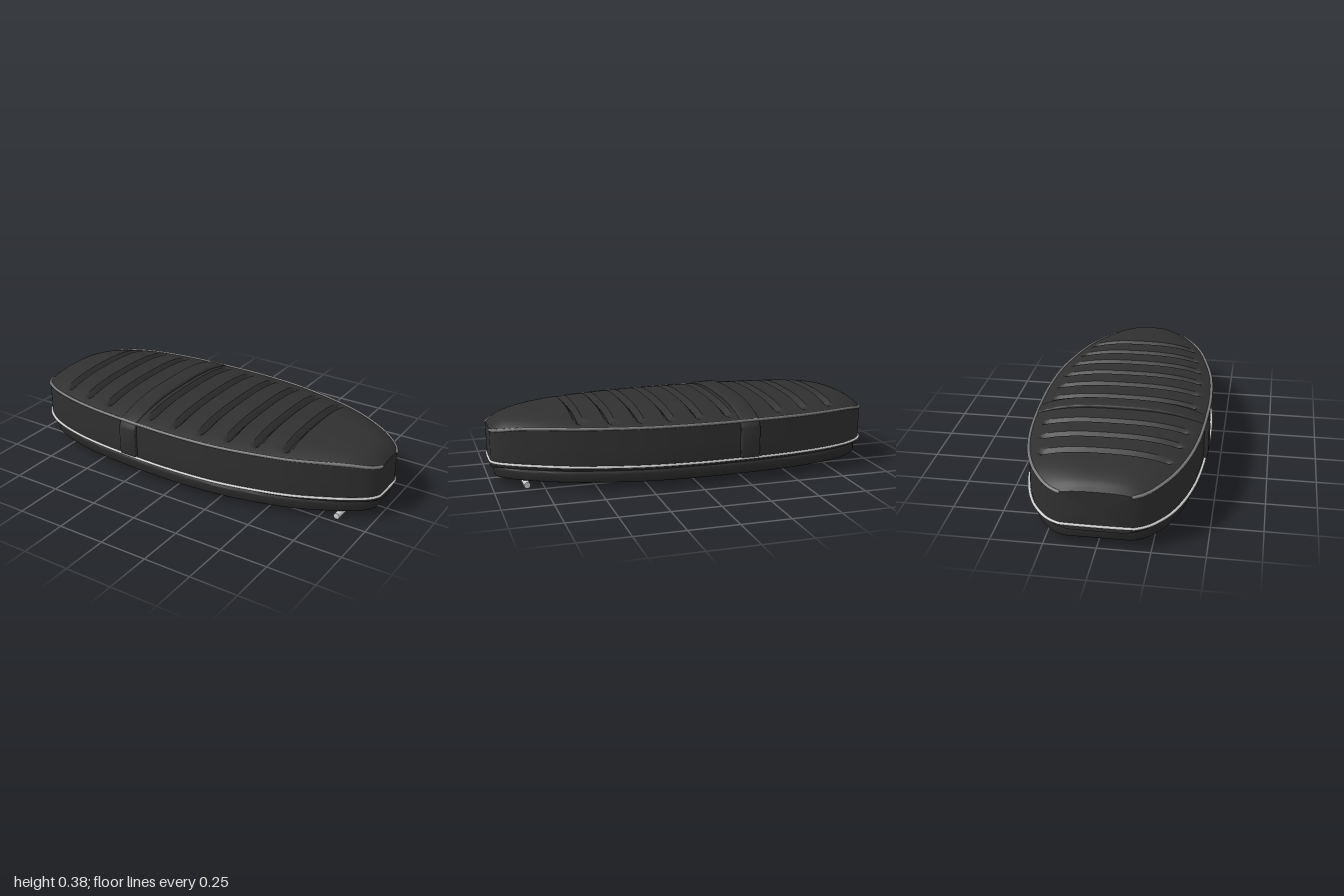
import * as THREE from 'three';
import { toCreasedNormals } from 'three/addons/utils/BufferGeometryUtils.js';

// Smooth interpolation through [x, value] points
function curveThrough(pts) {
  const slope = (i) => {
    const a = pts[Math.max(i - 1, 0)], b = pts[Math.min(i + 1, pts.length - 1)];
    return (b[1] - a[1]) / (b[0] - a[0]);
  };
  return (x) => {
    let i = 0;
    while (i < pts.length - 2 && x > pts[i + 1][0]) i++;
    const [x0, y0] = pts[i], [x1, y1] = pts[i + 1];
    const h = x1 - x0, t = (x - x0) / h, t2 = t * t, t3 = t2 * t;
    return y0 * (2 * t3 - 3 * t2 + 1) + y1 * (3 * t2 - 2 * t3)
      + h * (slope(i) * (t3 - 2 * t2 + t) + slope(i + 1) * (t3 - t2));
  };
}

// Half width, piping height and crown height along the seat
const halfWidth = curveThrough([[-1, 0.17], [-0.98, 0.212], [-0.94, 0.258], [-0.85, 0.32], [-0.7, 0.375],
  [-0.5, 0.412], [-0.25, 0.43], [0, 0.434], [0.25, 0.417], [0.45, 0.378], [0.65, 0.32],
  [0.85, 0.222], [0.95, 0.153], [0.985, 0.115], [1, 0.085]]);
const edgeHeight = curveThrough([[-1, 0.28], [-0.95, 0.293], [-0.87, 0.308], [-0.7, 0.317], [0, 0.319],
  [0.7, 0.315], [0.87, 0.305], [0.95, 0.29], [1, 0.278]]);
const crownHeight = curveThrough([[-1, 0.292], [-0.97, 0.322], [-0.9, 0.35], [-0.8, 0.367], [-0.6, 0.372],
  [0.6, 0.371], [0.8, 0.36], [0.92, 0.338], [0.97, 0.313], [1, 0.284]]);

const END = 0.994;
const GROOVES = [-0.75, -0.595, -0.445, -0.165, -0.01, 0.14, 0.29, 0.435, 0.585];

// Stations along x: denser at the ends and around every groove
function stations() {
  const xs = [];
  for (let i = 0; i <= 64; i++) xs.push(-Math.cos((i / 64) * Math.PI));
  const clear = xs.filter((x) => GROOVES.every((g) => Math.abs(x - g) > 0.03));
  for (const g of GROOVES) for (const d of [-0.024, -0.016, -0.008, 0, 0.008, 0.016, 0.024]) clear.push(g + d);
  return clear.sort((a, b) => a - b);
}

// One cross-section [z, y] of the cushion
function section(x) {
  const w = halfWidth(x), e = edgeHeight(x), c = crownHeight(x);
  const side = [[0.8 * w, 0.088], [0.93 * w, 0.096], [0.99 * w, 0.113], [w, 0.14], [w, 0.22], [w, e]];
  let cut = 0;
  for (const g of GROOVES) cut = Math.max(cut, 1 - Math.abs(x - g) / 0.022);
  const top = [];
  for (let k = 1; k < 48; k++) {
    const t = Math.cos((k / 48) * Math.PI), a = Math.abs(t);
    const fade = THREE.MathUtils.clamp((0.9 - a) / 0.1, 0, 1);
    top.push([t * w, e + (c - e) * (1 - a ** 2.8) - 0.024 * cut * fade]);
  }
  return [...side, ...top, ...side.map(([z, y]) => [-z, y]).reverse()];
}

function cushionGeometry() {
  const xs = stations(), pos = [], idx = [];
  let n = 0;
  for (const x of xs) {
    const ring = section(x);
    n = ring.length;
    for (const [z, y] of ring) pos.push(x * END, y, z);
  }
  const last = (xs.length - 1) * n, centre = xs.length * n;
  pos.push(-END, 0.2, 0, END, 0.2, 0);
  for (let j = 0; j < n; j++) {
    const k = (j + 1) % n;
    for (let i = 0; i < last; i += n) idx.push(i + j, i + n + j, i + k, i + n + j, i + n + k, i + k);
    idx.push(centre, j, k, centre + 1, last + k, last + j);
  }
  const geo = new THREE.BufferGeometry();
  geo.setAttribute('position', new THREE.Float32BufferAttribute(pos, 3));
  geo.setIndex(idx);
  return toCreasedNormals(geo, 0.65);
}

// Plan outline of one side, from the -x end to the +x end
function sideLine(count) {
  const line = [];
  for (let i = 0; i <= count; i++) {
    const x = -Math.cos((i / count) * Math.PI);
    line.push([x, halfWidth(x)]);
  }
  return line;
}

export function createModel() {
  const group = new THREE.Group();
  const mat = (name, color) => {
    const m = new THREE.MeshStandardMaterial({ color });
    m.name = name;
    return m;
  };
  const leather = mat('black leather', 0x303030);
  const plastic = mat('black base', 0x282828);
  const pipingGrey = mat('grey piping', 0x7a7a7a);
  const chrome = mat('chrome', 0xd0d0d0);
  const add = (name, geo, material) => {
    const mesh = new THREE.Mesh(geo, material);
    mesh.name = name;
    group.add(mesh);
    return mesh;
  };

  // Padded cushion with cross grooves
  add('cushion', cushionGeometry(), leather);

  // Piping along both upper edges
  for (const s of [1, -1]) {
    const pts = sideLine(48).map(([x, w]) => new THREE.Vector3(x * 0.992, edgeHeight(x), s * w));
    add(s > 0 ? 'frontPiping' : 'backPiping',
      new THREE.TubeGeometry(new THREE.CatmullRomCurve3(pts), 160, 0.008, 8), pipingGrey);
    for (const p of [pts[0], pts[pts.length - 1]]) {
      add('pipingEnd', new THREE.SphereGeometry(0.008, 8, 6), pipingGrey).position.copy(p);
    }
  }

  // Bright trim strip around the lower edge
  const half = sideLine(40);
  const trimPoint = ([x, w], s) => new THREE.Vector3(x * 0.993, 0.124 - 0.008 * x ** 8, s * (w + 0.006));
  const trim = [...half.map((p) => trimPoint(p, 1)), ...half.slice().reverse().map((p) => trimPoint(p, -1))];
  add('lowerTrim', new THREE.TubeGeometry(new THREE.CatmullRomCurve3(trim, true), 320, 0.007, 8, true), chrome);

  // Strap over the cushion
  const right = [[0.437, 0.138], [0.442, 0.16], [0.442, 0.28], [0.436, 0.298]];
  const over = [];
  for (let k = 0; k <= 32; k++) {
    const z = 0.42 * Math.cos((k / 32) * Math.PI);
    over.push([z, 0.303 + 0.076 * (1 - Math.abs(z / 0.45) ** 3)]);
  }
  const strapLine = [...right, ...over, ...right.map(([z, y]) => [-z, y]).reverse()];
  const strapGeo = new THREE.ExtrudeGeometry(new THREE.Shape(strapLine.map(([z, y]) => new THREE.Vector2(z, y))),
    { depth: 0.084, bevelThickness: 0.008, bevelSize: 0.008, bevelSegments: 3 });
  strapGeo.rotateY(Math.PI / 2).translate(-0.302, 0, 0);
  add('strap', toCreasedNormals(strapGeo, 0.7), leather);

  // Base pan with rounded rim
  const rim = [...half.map(([x, w]) => new THREE.Vector2(x * 0.962, w * 0.925)),
    ...half.slice().reverse().map(([x, w]) => new THREE.Vector2(x * 0.962, -w * 0.925))];
  const baseGeo = new THREE.ExtrudeGeometry(new THREE.Shape(rim),
    { depth: 0.035, bevelThickness: 0.012, bevelSize: 0.013, bevelSegments: 3 });
  baseGeo.rotateX(-Math.PI / 2).translate(0, 0.047, 0);
  add('basePan', toCreasedNormals(baseGeo, 0.6), plastic);

  // Mounting rod under the narrow end
  const rod = add('mountingRod', new THREE.CylinderGeometry(0.016, 0.016, 0.45, 20), chrome);
  rod.rotation.x = Math.PI / 2;
  rod.position.set(0.835, 0.018, 0);

  return group;
}
